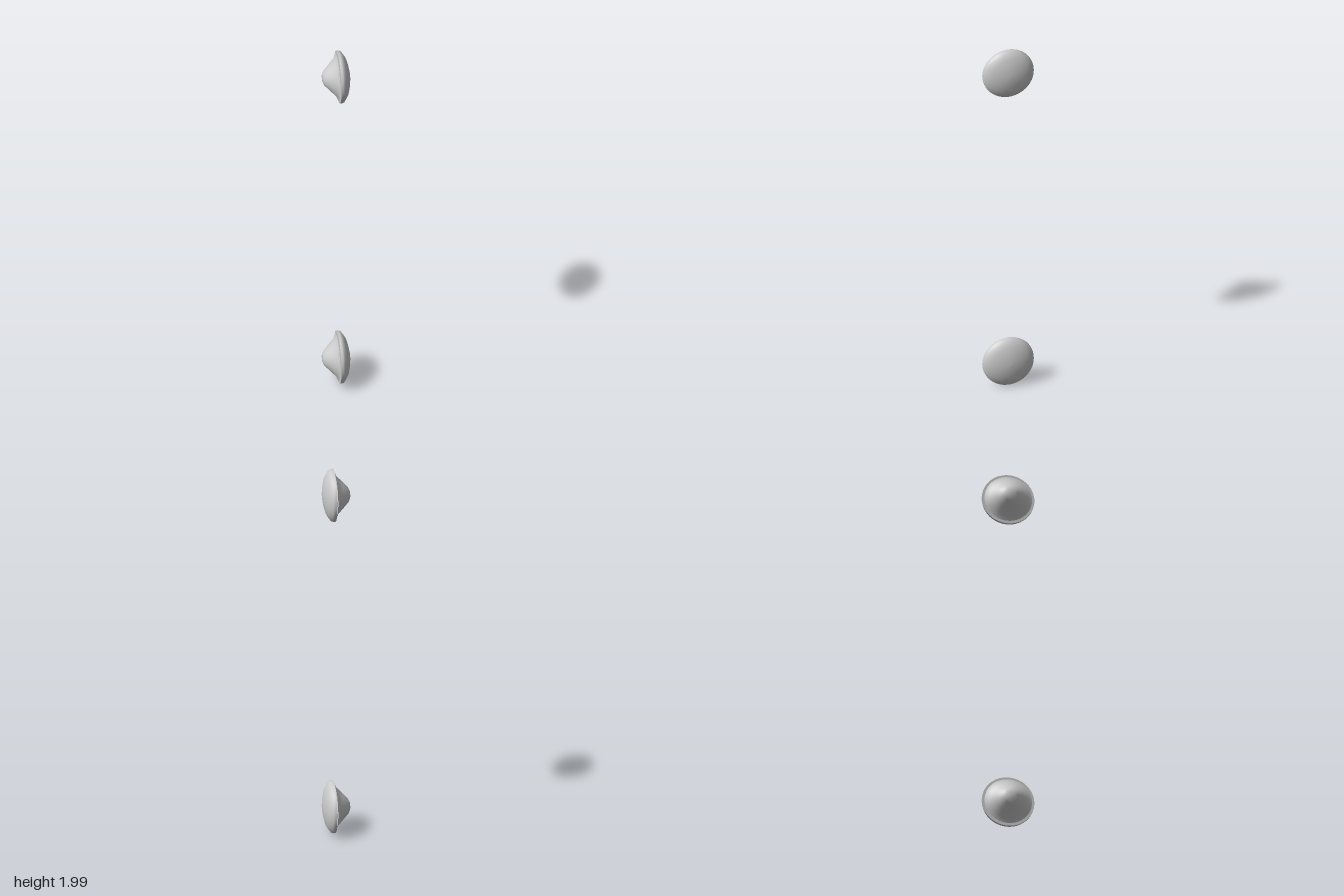
import * as THREE from 'three';

const material = new THREE.MeshStandardMaterial({ color: 0xcccccc, side: THREE.DoubleSide });

// Turned part around the x axis, from [x, radius] pairs running towards +x
function turned(name, profile) {
  const points = profile.map(([x, r]) => new THREE.Vector2(r, x));
  const mesh = new THREE.Mesh(new THREE.LatheGeometry(points, 48), material);
  mesh.rotation.z = -Math.PI / 2;
  mesh.name = name;
  return mesh;
}

function createKnob(name, y) {
  const knob = new THREE.Group();
  knob.name = name;
  knob.add(
    // flared cone with a rounded tip
    turned('cone', [
      [-0.072, 0], [-0.072, 0.02], [-0.063, 0.039], [-0.034, 0.07],
      [-0.004, 0.101], [0.005, 0.124],
    ]),
    // flat back of the cap, just clear of the cone
    turned('capBack', [[0.0095, 0], [0.0095, 0.137]]),
    // rim and shallow dome
    turned('capDome', [
      [0.0095, 0.137], [0.02, 0.137], [0.03, 0.134], [0.042, 0.118],
      [0.054, 0.098], [0.064, 0.062], [0.07, 0.028], [0.071, 0],
    ]),
  );
  knob.position.set(0, y, -0.002);
  return knob;
}

export function createModel() {
  const model = new THREE.Group();
  model.name = 'knobPair';
  model.add(createKnob('lowerKnob', 0.144), createKnob('upperKnob', 1.863));
  return model;
}
